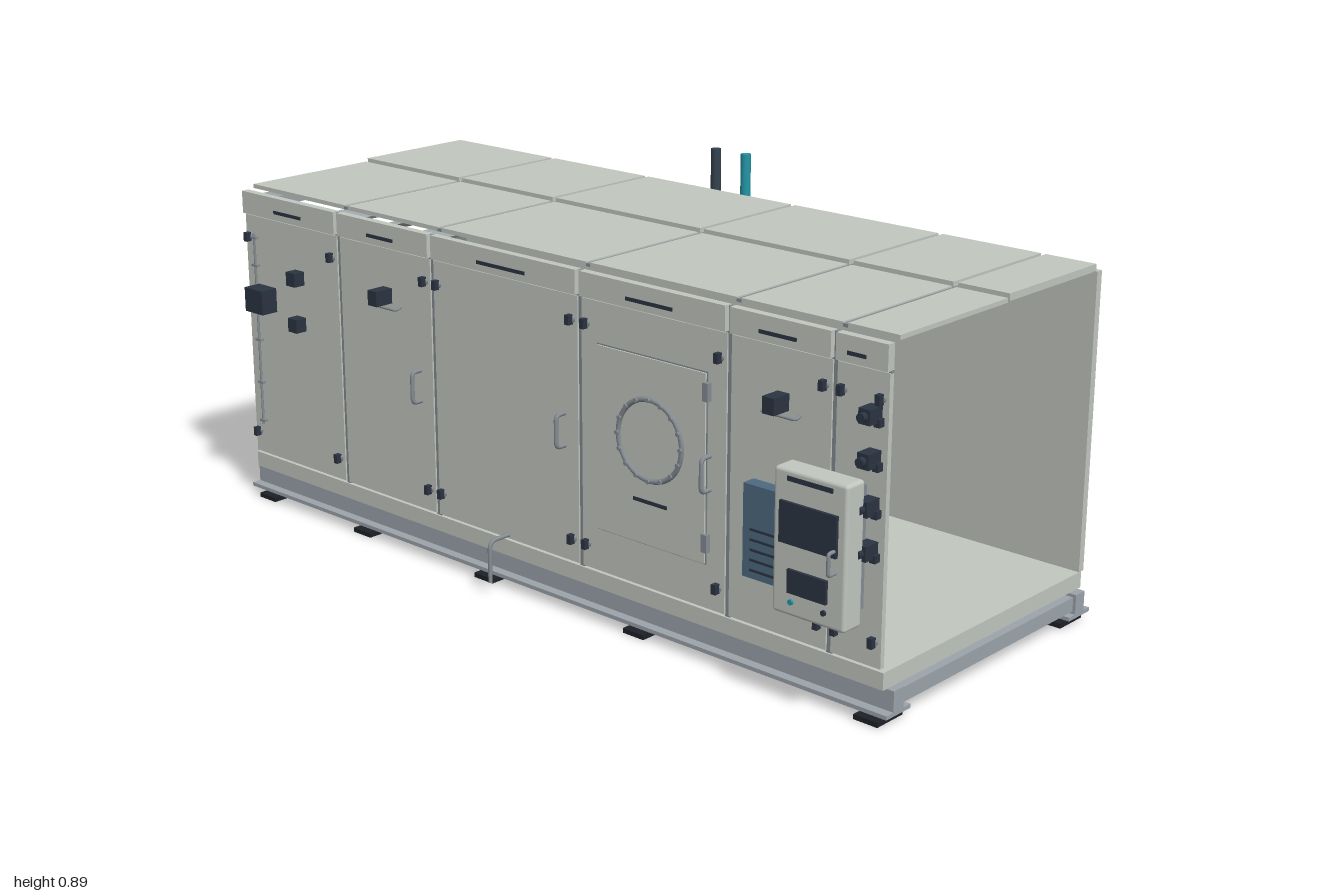
import * as THREE from 'three';
import { RoundedBoxGeometry } from 'three/addons/geometries/RoundedBoxGeometry.js';

const mat = (name, color) => {
  const m = new THREE.MeshStandardMaterial({ color });
  m.name = name;
  return m;
};

export function createModel() {
  const panel = mat('panel grey', 0xc1c6bf);
  const frame = mat('frame blue grey', 0x9ba3aa);
  const metal = mat('fitting grey', 0x858c92);
  const dark = mat('device navy', 0x2b3442);
  const rubber = mat('rubber black', 0x1d2027);
  const blue = mat('vent blue', 0x4d6a81);
  const teal = mat('pipe teal', 0x2496a6);
  const slate = mat('pipe slate', 0x34424f);

  const model = new THREE.Group();
  const group = (name) => {
    const g = new THREE.Group();
    g.name = name;
    model.add(g);
    return g;
  };
  const add = (parent, name, geo, m, x = 0, y = 0, z = 0) => {
    const mesh = new THREE.Mesh(geo, m);
    mesh.name = name;
    mesh.position.set(x, y, z);
    parent.add(mesh);
    return mesh;
  };
  // Box given by its limits on each axis
  const box = (parent, name, m, [x0, x1], [y0, y1], [z0, z1]) =>
    add(parent, name, new THREE.BoxGeometry(x1 - x0, y1 - y0, z1 - z0), m,
      (x0 + x1) / 2, (y0 + y1) / 2, (z0 + z1) / 2);
  const cylY = (parent, name, m, r, y0, y1, x, z) =>
    add(parent, name, new THREE.CylinderGeometry(r, r, y1 - y0, 20), m, x, (y0 + y1) / 2, z);
  const cylZ = (parent, name, m, r, z0, z1, x, y) => {
    const c = add(parent, name, new THREE.CylinderGeometry(r, r, z1 - z0, 16), m, x, y, (z0 + z1) / 2);
    c.rotation.x = Math.PI / 2;
    return c;
  };
  // Bent rod with tight rounded corners
  const rod = (parent, name, m, r, pts, bend) => {
    const v = pts.map((p) => new THREE.Vector3(...p));
    const path = new THREE.CurvePath();
    let from = v[0];
    for (let i = 1; i < v.length - 1; i++) {
      const a = v[i].clone().add(v[i - 1].clone().sub(v[i]).setLength(bend));
      const b = v[i].clone().add(v[i + 1].clone().sub(v[i]).setLength(bend));
      path.add(new THREE.LineCurve3(from, a));
      path.add(new THREE.QuadraticBezierCurve3(a, v[i], b));
      from = b;
    }
    path.add(new THREE.LineCurve3(from, v[v.length - 1]));
    const tubeMesh = add(parent, name, new THREE.TubeGeometry(path, 64, r, 14, false), m);
    const ends = [[v[0], v[1]], [v[v.length - 1], v[v.length - 2]]];
    for (const [p, q] of ends) {
      const cap = add(parent, name + 'Cap', new THREE.CircleGeometry(r, 14), m, p.x, p.y, p.z);
      cap.lookAt(p.clone().multiplyScalar(2).sub(q));
    }
    return tubeMesh;
  };

  // Base frame: flanged side rails, cross beams and pads
  const base = group('baseFrame');
  const padX = [-0.94, -0.576, -0.15, 0.32, 0.95];
  for (const s of [1, -1]) {
    const zr = s * 0.332 - 0.005;
    box(base, 'sideRail', frame, [-1, 1], [0.025, 0.077], [zr - 0.017, zr + 0.017]);
    box(base, 'railFlange', frame, [-1, 1], [0.022, 0.031], [zr - 0.04, zr + 0.04]);
    for (const x of padX)
      box(base, 'footPad', rubber, [x - 0.03, x + 0.03], [0, 0.011], [zr - 0.042, zr + 0.042]);
  }
  for (const x of [-0.975, ...padX.slice(1, 4), 0.975])
    box(base, 'crossBeam', frame, [x - 0.018, x + 0.018], [0.037, 0.07], [-0.32, 0.315]);
  box(base, 'floorPan', panel, [-0.987, 0.982], [0.077, 0.115], [-0.365, 0.357]);

  // Sectioned casing
  const casing = group('casing');
  const seams = [-0.987, -0.633, -0.308, 0.157, 0.577, 0.845, 0.982];
  const plates = [[-0.86, -0.76], [-0.52, -0.43], [-0.15, 0.0], [0.3, 0.43], [0.66, 0.755], [0.88, 0.925]];
  const latch = (x, y) => {
    cylZ(casing, 'latchBase', metal, 0.009, 0.359, 0.366, x, y);
    box(casing, 'latchKnob', dark, [x - 0.006, x + 0.006], [y - 0.011, y + 0.011], [0.364, 0.378]);
  };
  for (let i = 0; i < 6; i++) {
    const x = [seams[i] + 0.006, seams[i + 1] - 0.006];
    box(casing, 'frontDoor', panel, x, [0.122, 0.733], [0.348, 0.36]);
    box(casing, 'frontHeader', panel, x, [0.737, 0.792], [0.348, 0.368]);
    box(casing, 'roofFront', panel, x, [0.793, 0.803], [-0.03, 0.332]);
    box(casing, 'roofBack', panel, x, [0.795, 0.811], [-0.36, -0.036]);
    box(casing, 'namePlate', dark, plates[i], [0.753, 0.761], [0.367, 0.37]);
    for (const y of [0.178, 0.68]) {
      latch(x[1] - 0.016, y);
      if (i !== 1 && i !== 4) latch(x[0] + 0.016, y);
    }
  }
  for (const x of seams.slice(1, 6)) {
    box(casing, 'mullion', metal, [x - 0.007, x + 0.007], [0.117, 0.79], [0.347, 0.356]);
    box(casing, 'roofSeam', metal, [x - 0.007, x + 0.007], [0.793, 0.8], [-0.36, 0.332]);
  }
  box(casing, 'doorGap', metal, [-0.982, 0.977], [0.732, 0.738], [0.348, 0.357]);
  box(casing, 'backWall', panel, [-0.99, 0.984], [0.117, 0.797], [-0.37, -0.352]);

  // Intake louver at the left-hand end of the front
  const louver = group('intakeLouver');
  const lx = [-0.985, -0.925];
  for (const y of [[0.138, 0.16], [0.752, 0.775]]) box(louver, 'louverRail', frame, lx, y, [-0.345, 0.336]);
  for (const z of [[-0.345, -0.322], [0.315, 0.336]]) box(louver, 'louverStile', frame, lx, [0.16, 0.752], z);
  for (let i = 0; i < 11; i++) {
    const blade = add(louver, 'louverBlade', new THREE.BoxGeometry(0.042, 0.01, 0.637), frame,
      -0.955, 0.679 - i * 0.0513, -0.0035);
    blade.rotation.z = (i % 2 ? 1 : -1) * 0.58;
  }

  // Door handles
  const hardware = group('doorHardware');
  for (const x of [-0.355, 0.11, 0.528])
    rod(hardware, 'doorHandle', metal, 0.005,
      [[x, 0.462, 0.358], [x, 0.462, 0.387], [x, 0.388, 0.387], [x, 0.388, 0.358]], 0.012);
  // Sensing rod with clips on the first door
  cylY(hardware, 'sensingRod', metal, 0.003, 0.2, 0.69, -0.945, 0.366);
  for (const y of [0.21, 0.31, 0.42, 0.61, 0.68])
    box(hardware, 'rodClip', metal, [-0.955, -0.935], [y - 0.003, y + 0.003], [0.36, 0.37]);

  // Access hatch with round porthole
  const hatch = group('accessHatch');
  box(hatch, 'hatchOutline', metal, [0.21, 0.522], [0.22, 0.642], [0.359, 0.362]);
  box(hatch, 'hatchPanel', panel, [0.213, 0.519], [0.223, 0.639], [0.36, 0.366]);
  add(hatch, 'portholeRing', new THREE.TorusGeometry(0.09, 0.006, 8, 48), metal, 0.366, 0.459, 0.366);
  for (let i = 0; i < 16; i++) {
    const a = (i / 16) * Math.PI * 2;
    cylZ(hatch, 'portholeBolt', metal, 0.005, 0.364, 0.375, 0.366 + 0.09 * Math.cos(a), 0.459 + 0.09 * Math.sin(a));
  }
  box(hatch, 'hatchPlate', dark, [0.32, 0.415], [0.316, 0.324], [0.365, 0.368]);
  for (const y of [0.27, 0.6]) box(hatch, 'hatchHinge', metal, [0.515, 0.53], [y - 0.02, y + 0.02], [0.36, 0.372]);

  // Gauges, switches and their probes through the doors
  const devices = group('doorDevices');
  const device = (x, y, w, h, depth) => {
    box(devices, 'deviceBody', dark, [x - w / 2, x + w / 2], [y - h / 2, y + h / 2], [0.36, 0.36 + depth]);
    cylZ(devices, 'deviceProbe', metal, 0.005, 0.318, 0.361, x, y - h / 4);
  };
  device(-0.909, 0.533, 0.066, 0.06, 0.045);
  for (const y of [0.607, 0.492]) device(-0.782, y, 0.032, 0.034, 0.03);
  for (const x of [-0.462, 0.718]) {
    device(x, 0.623, 0.03, 0.036, 0.048);
    rod(devices, 'gaugeTube', metal, 0.003,
      [[x - 0.045, 0.602, 0.358], [x - 0.045, 0.596, 0.376], [x + 0.045, 0.596, 0.376], [x + 0.045, 0.602, 0.358]], 0.008);
  }
  for (const y of [0.65, 0.56, 0.463, 0.372]) {
    device(0.947, y, 0.028, 0.032, 0.04);
    cylZ(devices, 'switchKnob', dark, 0.01, 0.398, 0.412, 0.947, y);
    box(devices, 'deviceTab', dark, [0.952, 0.966], [y - 0.025, y - 0.008], [0.36, 0.376]);
  }

  // Blue drive housing with slots
  const drive = group('driveHousing');
  box(drive, 'driveBody', blue, [0.645, 0.775], [0.24, 0.442], [0.36, 0.392]);
  for (let i = 0; i < 5; i++)
    box(drive, 'driveSlot', dark, [0.665, 0.755], [0.256 + i * 0.022, 0.261 + i * 0.022], [0.391, 0.394]);

  // Control cabinet
  const cabinet = group('controlCabinet');
  add(cabinet, 'cabinetBody', new RoundedBoxGeometry(0.182, 0.306, 0.056, 3, 0.008), panel, 0.861, 0.371, 0.422);
  box(cabinet, 'cabinetMount', metal, [0.79, 0.93], [0.24, 0.5], [0.358, 0.396]);
  box(cabinet, 'displayScreen', dark, [0.79, 0.932], [0.372, 0.459], [0.449, 0.457]);
  box(cabinet, 'keypad', dark, [0.813, 0.91], [0.27, 0.32], [0.449, 0.457]);
  box(cabinet, 'cabinetPlate', dark, [0.805, 0.917], [0.501, 0.511], [0.449, 0.452]);
  cylZ(cabinet, 'tealLamp', teal, 0.006, 0.449, 0.455, 0.82, 0.25);
  cylZ(cabinet, 'darkLamp', dark, 0.006, 0.449, 0.455, 0.902, 0.25);
  rod(cabinet, 'cabinetHandle', metal, 0.004,
    [[0.928, 0.387, 0.448], [0.928, 0.387, 0.474], [0.928, 0.341, 0.474], [0.928, 0.341, 0.448]], 0.006);

  // Condensate drain at the front
  rod(group('drainPipe'), 'drainTube', metal, 0.005,
    [[-0.072, 0.131, 0.34], [-0.072, 0.131, 0.42], [-0.072, 0.032, 0.42]], 0.02);

  // Water pipes on the back wall
  const pipes = group('waterPipes');
  for (const [x, m] of [[-0.063, teal], [-0.158, slate]]) {
    const z = -0.448;
    rod(pipes, 'riser', m, 0.0125, [[x, 0.888, z], [x, 0.253, z], [x, 0.253, -0.365]], 0.04);
    for (const y of [0.64, 0.283]) {
      cylY(pipes, 'coupling', metal, 0.02, y - 0.011, y + 0.011, x, z);
      cylY(pipes, 'couplingRing', metal, 0.025, y - 0.005, y + 0.005, x, z);
    }
  }
  cylY(pipes, 'valveBody', dark, 0.02, 0.445, 0.493, -0.158, -0.448);
  box(pipes, 'valveActuator', dark, [-0.18, -0.136], [0.452, 0.485], [-0.468, -0.428]);
  cylY(pipes, 'strainer', metal, 0.021, 0.37, 0.43, -0.158, -0.448);

  return model;
}
